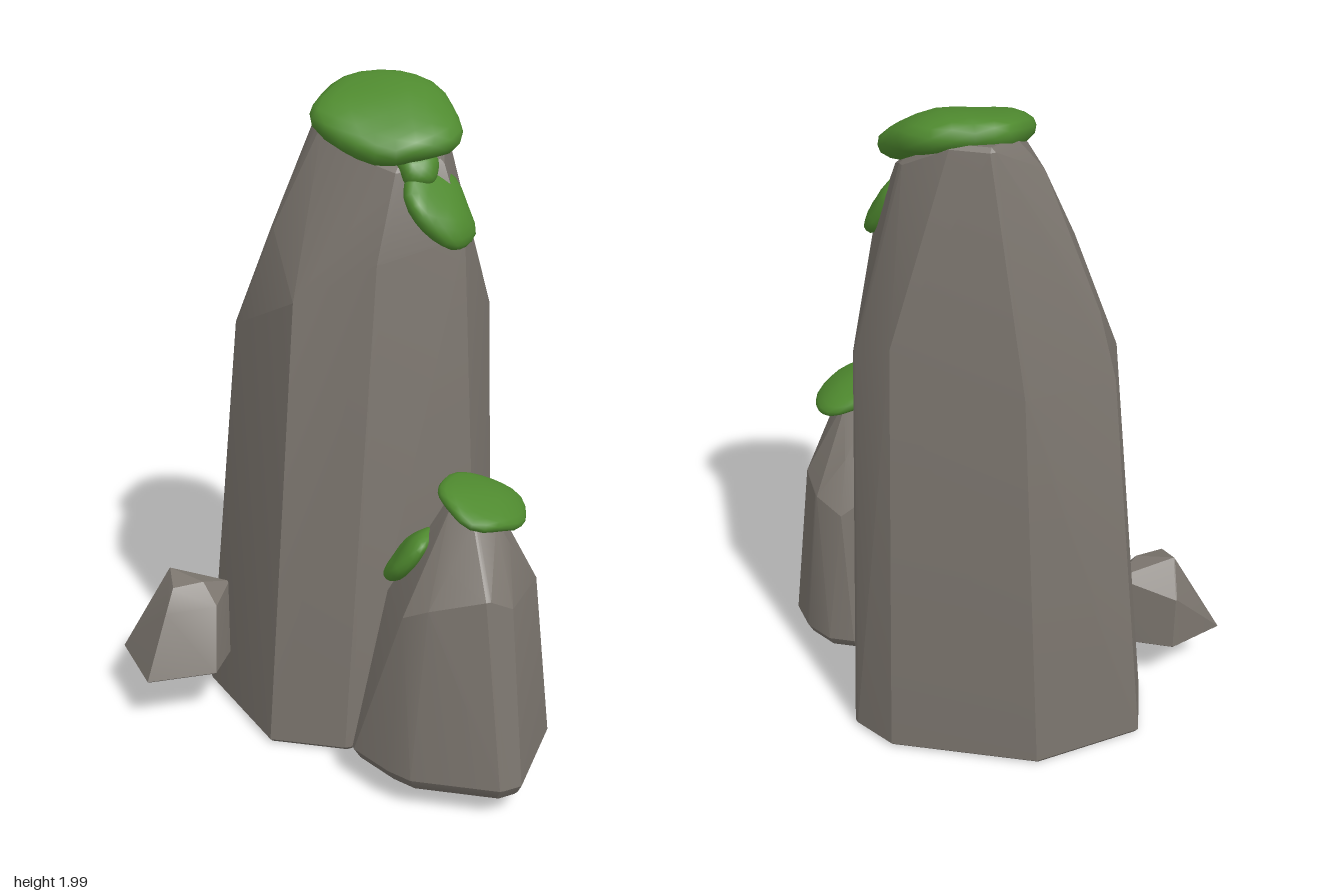
import * as THREE from 'three';
import { ConvexGeometry } from 'three/addons/geometries/ConvexGeometry.js';
import { mergeVertices, toCreasedNormals } from 'three/addons/utils/BufferGeometryUtils.js';

const stone = new THREE.MeshStandardMaterial({ color: 0x7a746d });
const green = new THREE.MeshStandardMaterial({ color: 0x4f8a2f });

// Faceted boulder: the hull of its corners, each corner blunted by a small octahedron
function rock(name, corners, bevel) {
  const points = [];
  for (const [x, y, z] of corners) {
    for (const s of [-bevel, bevel]) {
      points.push(
        new THREE.Vector3(x + s, y, z),
        new THREE.Vector3(x, y + s, z),
        new THREE.Vector3(x, y, z + s)
      );
    }
  }
  const mesh = new THREE.Mesh(toCreasedNormals(new ConvexGeometry(points), 0.35), stone);
  mesh.name = name;
  return mesh;
}

// Lumpy flattened cushion lying on a slope with the given normal
function moss(name, center, radii, normal, seed) {
  let geo = new THREE.IcosahedronGeometry(1, 3);
  geo.deleteAttribute('normal');
  geo.deleteAttribute('uv');
  geo = mergeVertices(geo, 1e-4);
  const pos = geo.attributes.position;
  for (let i = 0; i < pos.count; i++) {
    const x = pos.getX(i), y = pos.getY(i), z = pos.getZ(i);
    const a = Math.atan2(z, x);
    const edge = 1 + Math.hypot(x, z) * (0.035 * Math.sin(3 * a + seed) + 0.03 * Math.sin(5 * a + 2 * seed));
    const bump = 0.12 * Math.sin(4 * x + seed) * Math.cos(3 * z + seed);
    pos.setXYZ(i,
      x * edge * radii[0],
      (Math.sign(y) * Math.abs(y) ** 0.85 + bump) * radii[1],
      z * edge * radii[2]);
  }
  geo.computeVertexNormals();
  const mesh = new THREE.Mesh(geo, green);
  mesh.position.set(...center);
  mesh.quaternion.setFromUnitVectors(new THREE.Vector3(0, 1, 0), new THREE.Vector3(...normal).normalize());
  mesh.name = name;
  return mesh;
}

export function createModel() {
  const group = new THREE.Group();
  group.name = 'mossyRocks';

  // Tall rock: base ring, sloping shoulders, slanted top
  const tallBase = [
    [-0.535, -0.13], [-0.485, 0.07], [-0.14, 0.295], [0.085, 0.23],
    [0.35, -0.12], [0.285, -0.365], [0.15, -0.425], [-0.295, -0.36]
  ].map(([x, z]) => [x, 0.012, z]);
  group.add(rock('tallRock', [
    ...tallBase,
    [-0.415, 1.22, -0.11], [-0.375, 1.25, 0.04], [-0.11, 1.4, 0.17], [0.12, 1.53, 0.1],
    [0.283, 1.58, -0.09], [0.26, 1.3, -0.33], [0.13, 1.37, -0.4], [-0.24, 1.25, -0.345],
    [-0.36, 1.42, -0.1], [-0.24, 1.57, 0.05],
    [-0.2, 1.83, -0.12], [-0.14, 1.91, -0.15], [-0.13, 1.87, -0.05], [0, 1.8, 0.01],
    [0.13, 1.77, 0.01], [0.21, 1.78, -0.1], [0.14, 1.85, -0.25], [0, 1.92, -0.27], [-0.11, 1.92, -0.26]
  ], 0.012));

  // Medium rock: the base ring is tucked in underneath
  const mediumBase = [
    [0.165, 0.29], [0.18, 0.355], [0.32, 0.41], [0.4, 0.425], [0.65, 0.355], [0.683, 0.31],
    [0.635, 0], [0.57, -0.075], [0.48, -0.118], [0.4, -0.108], [0.25, 0.03]
  ];
  group.add(rock('mediumRock', [
    ...mediumBase.map(([x, z]) => [x, 0.11, z]),
    ...mediumBase.map(([x, z]) => [0.43 + (x - 0.43) * 0.94, 0.08, 0.16 + (z - 0.16) * 0.94]),
    [0.24, 0.6, 0.25], [0.34, 0.6, 0.365], [0.42, 0.64, 0.365], [0.57, 0.68, 0.31],
    [0.612, 0.64, 0.25], [0.59, 0.63, 0.03], [0.53, 0.6, -0.05], [0.44, 0.56, -0.075],
    [0.36, 0.62, -0.02], [0.27, 0.62, 0.08],
    [0.55, 0.78, 0.14], [0.45, 0.74, 0.3], [0.45, 0.72, 0],
    [0.365, 0.86, 0.14], [0.4, 0.875, 0.2], [0.48, 0.86, 0.21], [0.51, 0.85, 0.15], [0.48, 0.86, 0.08], [0.4, 0.87, 0.09]
  ], 0.01));

  // Small sharp rock
  group.add(rock('smallRock', [
    [-0.697, 0.168, 0.26], [-0.59, 0.168, 0.11], [-0.395, 0.168, 0.09], [-0.355, 0.168, 0.27], [-0.51, 0.168, 0.412],
    [-0.62, 0.33, 0.2], [-0.59, 0.34, 0.12], [-0.5, 0.36, 0.31],
    [-0.56, 0.445, 0.19], [-0.505, 0.42, 0.26], [-0.44, 0.425, 0.19], [-0.405, 0.395, 0.1], [-0.39, 0.36, 0.2]
  ], 0.003));

  // Moss cushions
  group.add(
    moss('tallRockMossCap', [0.04, 1.89, -0.105], [0.215, 0.07, 0.195], [0.22, 1, 0.33], 1),
    moss('tallRockMossSide', [0.225, 1.67, -0.06], [0.14, 0.045, 0.115], [0.8, 0.6, 0.12], 2.5),
    moss('tallRockMossNeck', [0.165, 1.775, -0.05], [0.06, 0.045, 0.07], [0.6, 0.8, 0.2], 0.5),
    moss('mediumRockMossCap', [0.475, 0.895, 0.15], [0.13, 0.036, 0.15], [0.35, 1, -0.1], 4),
    moss('mediumRockMossSide', [0.28, 0.71, 0.21], [0.11, 0.035, 0.085], [-0.75, 0.6, 0.2], 5.5)
  );
  return group;
}
